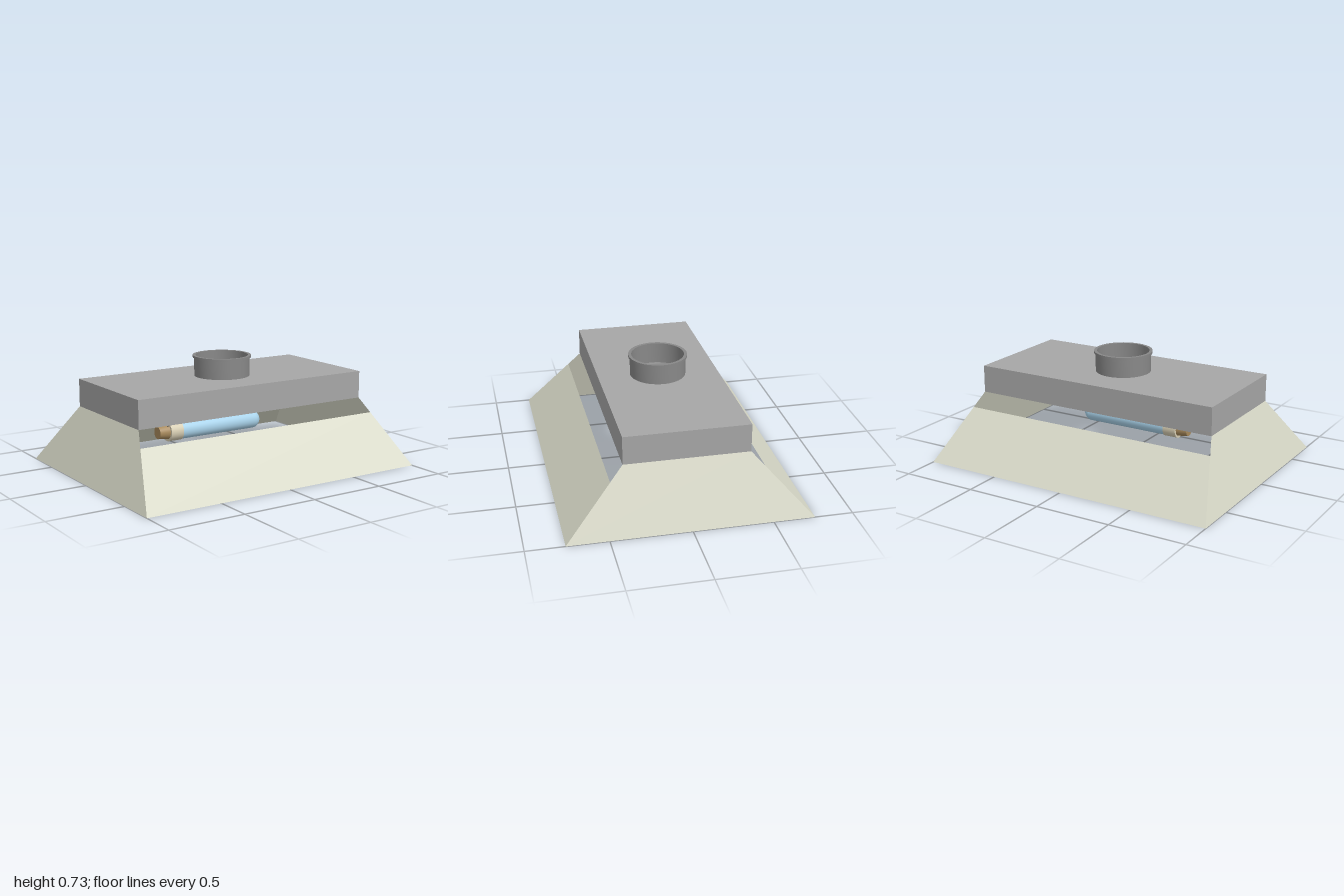
import * as THREE from 'three';
import { toCreasedNormals } from 'three/addons/utils/BufferGeometryUtils.js';

const BOX_X = 0.84, BOX_Z = 0.39, BOX_Y = 0.41, BOX_H = 0.18;
const HOOD_X = 1, HOOD_Z = 0.76, PANEL_TOP = 0.32;

const mat = (color, side = THREE.FrontSide) => new THREE.MeshStandardMaterial({ color, side });
const hoodMat = mat(0xd8d9c8, THREE.DoubleSide);
const boxMat = mat(0xa6a6a6);
const collarMat = mat(0x888888);
const darkMat = mat(0x555555);
const glassMat = mat(0xaad4ec);
const socketMat = mat(0xd8cfb4);
const capMat = mat(0xa88a5c);

function add(parent, name, geometry, material, x = 0, y = 0, z = 0) {
  const mesh = new THREE.Mesh(geometry, material);
  mesh.name = name;
  mesh.position.set(x, y, z);
  parent.add(mesh);
  return mesh;
}

// Point on a sloping corner of the hood at height y
function corner(sx, sz, y) {
  const t = y / BOX_Y;
  return [sx * THREE.MathUtils.lerp(HOOD_X, BOX_X, t), y, sz * THREE.MathUtils.lerp(HOOD_Z, BOX_Z, t)];
}

// Flat four-sided sheet, corners anticlockwise seen from outside
function sheet(a, b, c, d) {
  const g = new THREE.BufferGeometry();
  g.setAttribute('position', new THREE.Float32BufferAttribute([a, b, c, a, c, d].flat(), 3));
  g.computeVertexNormals();
  return g;
}

// Surface of revolution with sharp edges
function lathe(points, segments = 48) {
  const g = new THREE.LatheGeometry(points.map(p => new THREE.Vector2(...p)), segments);
  return toCreasedNormals(g, 0.6);
}

export function createModel() {
  const model = new THREE.Group();
  model.name = 'lampHood';

  // Top housing with a round vent hole through it
  const plan = new THREE.Shape();
  plan.moveTo(-BOX_X, -BOX_Z);
  plan.lineTo(BOX_X, -BOX_Z);
  plan.lineTo(BOX_X, BOX_Z);
  plan.lineTo(-BOX_X, BOX_Z);
  plan.closePath();
  const hole = new THREE.Path();
  hole.absarc(0, 0, 0.17, 0, Math.PI * 2, true);
  plan.holes.push(hole);
  const housing = new THREE.ExtrudeGeometry(plan, { depth: BOX_H, bevelEnabled: false, curveSegments: 48 });
  housing.rotateX(-Math.PI / 2);
  add(model, 'housing', toCreasedNormals(housing, 0.6), boxMat, 0, BOX_Y, 0);

  // Duct collar with a small outer lip
  add(model, 'ductCollar', lathe([
    [0.18, 0.59], [0.18, 0.71], [0.19, 0.71], [0.19, 0.725], [0.17, 0.725], [0.17, 0.59],
  ]), collarMat);

  // Sloping reflector: full-height ends, shorter front and back
  for (const s of [1, -1]) {
    add(model, s > 0 ? 'leftPanel' : 'rightPanel', sheet(
      corner(s, s, 0), corner(s, -s, 0), corner(s, -s, BOX_Y), corner(s, s, BOX_Y)), hoodMat);
    add(model, s > 0 ? 'frontPanel' : 'backPanel', sheet(
      corner(-s, s, 0), corner(s, s, 0), corner(s, s, PANEL_TOP), corner(-s, s, PANEL_TOP)), hoodMat);
  }

  // Lamp lying along x, modelled upright then laid towards +x
  const lamp = new THREE.Group();
  lamp.name = 'lamp';
  lamp.position.y = 0.265;
  lamp.rotation.z = -Math.PI / 2;
  model.add(lamp);
  const dome = [];
  for (let i = 0; i <= 10; i++) {
    const a = (i / 10) * Math.PI / 2;
    dome.push([0.06 * Math.cos(a), 0.23 + 0.06 * Math.sin(a)]);
  }
  add(lamp, 'bulb', lathe([[0.06, -0.34], ...dome], 32), glassMat);
  add(lamp, 'socket', new THREE.CylinderGeometry(0.064, 0.064, 0.09, 32), socketMat, 0, -0.375, 0);
  add(lamp, 'socketCap', new THREE.CylinderGeometry(0.05, 0.04, 0.07, 32), capMat, 0, -0.455, 0);

  // Hanger plate and post carrying the socket
  const hanger = new THREE.Group();
  hanger.name = 'hanger';
  model.add(hanger);
  add(hanger, 'hangerPlate', new THREE.BoxGeometry(0.16, 0.02, 0.16), darkMat, -0.42, 0.38, 0);
  add(hanger, 'hangerPost', new THREE.BoxGeometry(0.026, 0.12, 0.06), darkMat, -0.42, 0.31, 0);

  return model;
}
